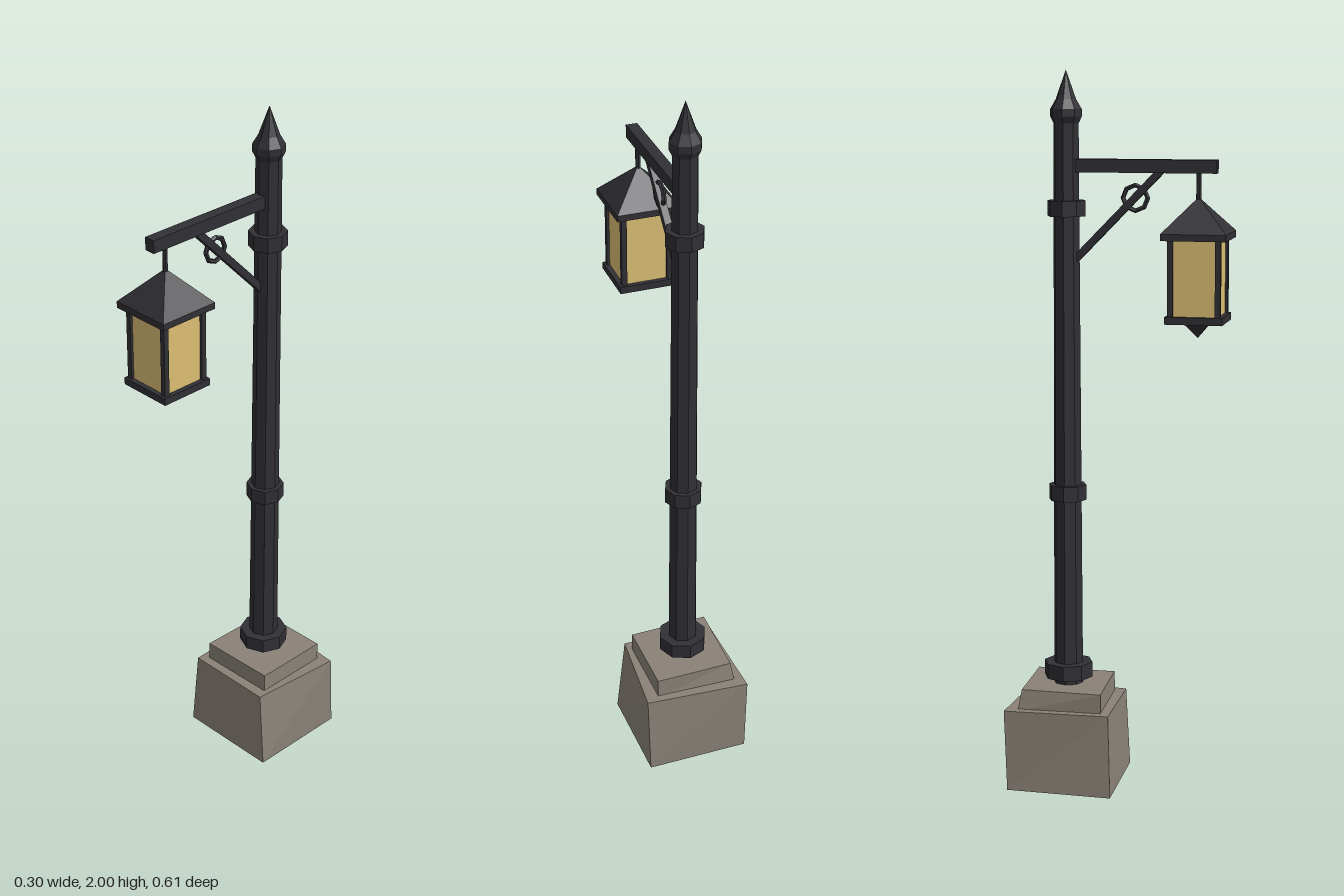
import * as THREE from 'three';

const metal = new THREE.MeshStandardMaterial({ color: 0x303035, flatShading: true });
const stone = new THREE.MeshStandardMaterial({ color: 0x8a8278, flatShading: true });
const glass = new THREE.MeshStandardMaterial({ color: 0xdcbf74, flatShading: true });

const CX = -0.003, POLE_Z = -0.152, LAMP_Z = 0.214;

function add(parent, name, geometry, material, x = 0, y = 0, z = 0) {
  const mesh = new THREE.Mesh(geometry, material);
  mesh.name = name;
  mesh.position.set(x, y, z);
  parent.add(mesh);
  return mesh;
}

// Uneven block: corners as [x, z], ordered back left, back right, front right, front left
function unevenBlock(bottom, top, y0, y1) {
  const g = new THREE.BoxGeometry(1, 1, 1);
  const p = g.attributes.position;
  for (let i = 0; i < p.count; i++) {
    const right = p.getX(i) > 0, front = p.getZ(i) > 0;
    const k = front ? (right ? 2 : 3) : (right ? 1 : 0);
    const up = p.getY(i) > 0;
    const [x, z] = (up ? top : bottom)[k];
    p.setXYZ(i, x, up ? y1 : y0, z);
  }
  g.computeVertexNormals();
  return g;
}

// Square pyramid with sides parallel to the axes
function pyramid(half, height) {
  return new THREE.ConeGeometry(half * Math.SQRT2, height, 4).rotateY(Math.PI / 4);
}

function createPost() {
  const post = new THREE.Group();
  post.name = 'post';
  post.position.set(CX, 0, POLE_Z);
  add(post, 'pole', new THREE.CylinderGeometry(0.035, 0.042, 1.6, 8), metal, 0, 1.075, 0);
  // Collars: height and radius
  for (const [y, r] of [[0.325, 0.069], [0.838, 0.053], [1.628, 0.053]]) {
    add(post, 'collar', new THREE.CylinderGeometry(r, r, 0.043, 8), metal, 0, y, 0);
  }
  const profile = [[0, 1.85], [0.034, 1.855], [0.044, 1.875], [0.044, 1.895], [0.028, 1.922], [0, 2]];
  add(post, 'finial', new THREE.LatheGeometry(profile.map(([r, y]) => new THREE.Vector2(r, y)), 8), metal);
  return post;
}

function createBracket() {
  const bracket = new THREE.Group();
  bracket.name = 'bracket';
  bracket.position.x = CX;
  add(bracket, 'arm', new THREE.BoxGeometry(0.032, 0.036, 0.4), metal, 0, 1.744, 0.065);
  // Diagonal brace from the pole to the arm
  const from = new THREE.Vector3(0, 1.485, -0.13), to = new THREE.Vector3(0, 1.735, 0.113);
  const brace = add(bracket, 'brace', new THREE.BoxGeometry(0.02, 0.02, from.distanceTo(to)), metal);
  brace.position.lerpVectors(from, to, 0.5);
  brace.lookAt(to);
  add(bracket, 'ring', new THREE.TorusGeometry(0.034, 0.007, 5, 8).rotateY(Math.PI / 2), metal, 0, 1.658, 0.04);
  return bracket;
}

function createLantern() {
  const lantern = new THREE.Group();
  lantern.name = 'lantern';
  lantern.position.set(CX, 0, LAMP_Z);
  add(lantern, 'hanger', new THREE.CylinderGeometry(0.007, 0.007, 0.09, 6), metal, 0, 1.69, 0);
  add(lantern, 'roof', pyramid(0.089, 0.095), metal, 0, 1.6155, 0);
  add(lantern, 'eaves', new THREE.BoxGeometry(0.178, 0.018, 0.178), metal, 0, 1.559, 0);
  add(lantern, 'pane', new THREE.BoxGeometry(0.13, 0.212, 0.13), glass, 0, 1.446, 0);
  for (const sx of [-1, 1]) {
    for (const sz of [-1, 1]) {
      add(lantern, 'cornerPost', new THREE.BoxGeometry(0.015, 0.212, 0.015), metal, sx * 0.065, 1.446, sz * 0.065);
    }
  }
  add(lantern, 'floor', new THREE.BoxGeometry(0.158, 0.02, 0.158), metal, 0, 1.335, 0);
  add(lantern, 'drop', pyramid(0.036, 0.045).rotateX(Math.PI), metal, 0, 1.3035, 0);
  return lantern;
}

export function createModel() {
  const model = new THREE.Group();
  model.name = 'streetLamp';

  // Roughly cut stone base in two steps
  add(model, 'plinth', unevenBlock(
    [[-0.145, -0.298], [0.147, -0.303], [0.15, -0.005], [-0.152, 0]],
    [[-0.147, -0.305], [0.15, -0.288], [0.127, -0.012], [-0.137, -0.009]], 0, 0.232), stone);
  add(model, 'plinthStep', unevenBlock(
    [[-0.121, -0.272], [0.112, -0.268], [0.114, -0.042], [-0.114, -0.035]],
    [[-0.11, -0.262], [0.112, -0.268], [0.114, -0.044], [-0.114, -0.035]], 0.225, 0.286), stone);

  model.add(createPost(), createBracket(), createLantern());
  return model;
}
